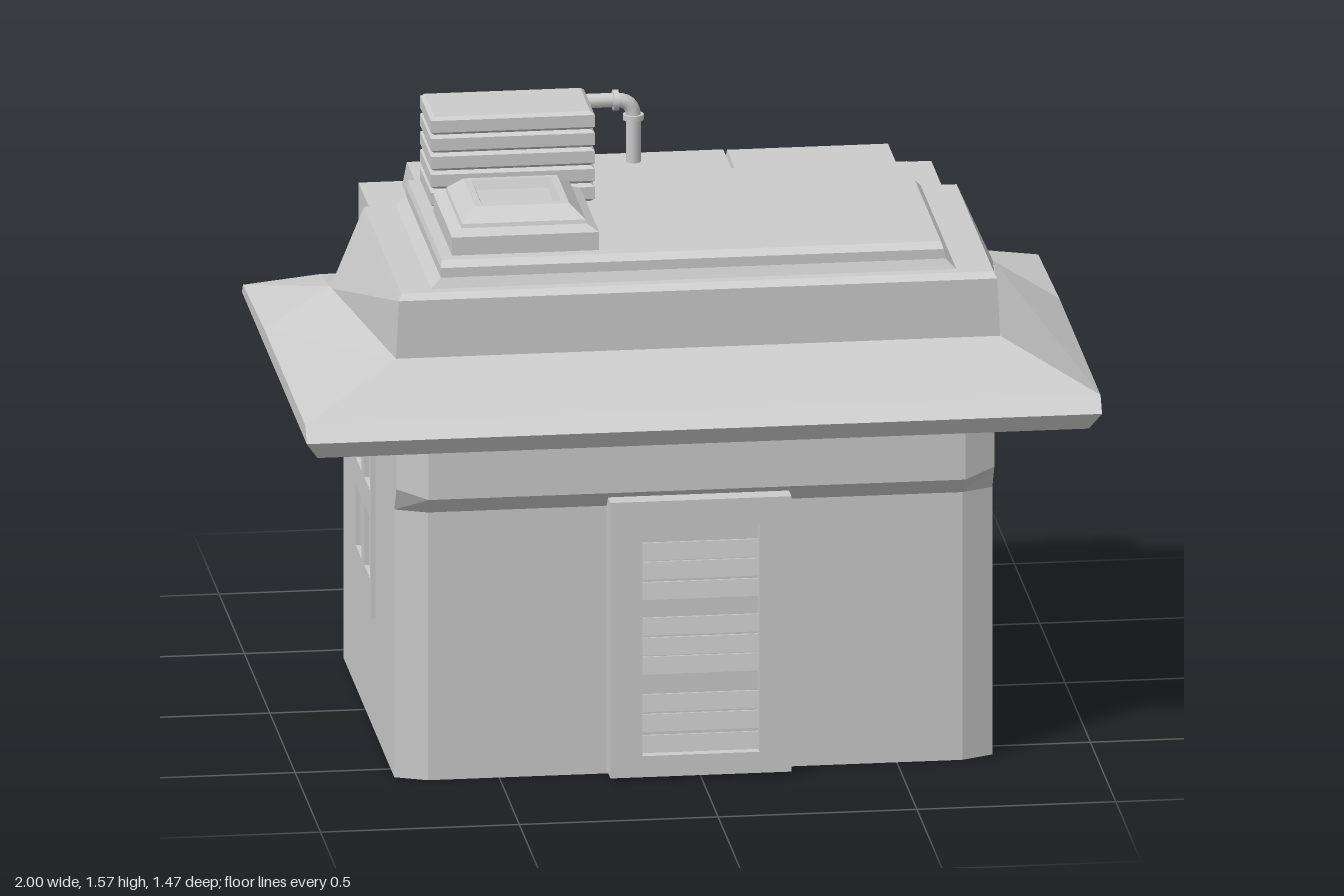
import * as THREE from 'three';

const grey = new THREE.MeshStandardMaterial({ color: 0xcccccc, flatShading: true });
const smooth = new THREE.MeshStandardMaterial({ color: 0xcccccc });

function add(parent, name, geometry, material = grey) {
  const mesh = new THREE.Mesh(geometry, material);
  mesh.name = name;
  parent.add(mesh);
  return mesh;
}

// Box given by its limits on each axis
function box(parent, name, x0, x1, y0, y1, z0, z1) {
  const mesh = add(parent, name, new THREE.BoxGeometry(x1 - x0, y1 - y0, z1 - z0));
  mesh.position.set((x0 + x1) / 2, (y0 + y1) / 2, (z0 + z1) / 2);
  return mesh;
}

// Capped solid through rings of corners, bottom to top, counterclockwise from above
function loft(rings) {
  const out = [], n = rings[0].length;
  const tri = (a, b, c) => out.push(...a, ...b, ...c);
  for (let r = 0; r + 1 < rings.length; r++) {
    for (let i = 0; i < n; i++) {
      const j = (i + 1) % n, lo = rings[r], hi = rings[r + 1];
      tri(lo[i], lo[j], hi[j]);
      tri(lo[i], hi[j], hi[i]);
    }
  }
  const bottom = rings[0], top = rings[rings.length - 1];
  for (let i = 1; i < n - 1; i++) {
    tri(bottom[0], bottom[i + 1], bottom[i]);
    tri(top[0], top[i], top[i + 1]);
  }
  const g = new THREE.BufferGeometry();
  g.setAttribute('position', new THREE.Float32BufferAttribute(out, 3));
  g.computeVertexNormals();
  return g;
}

// Ring from its +x corners (front to back), mirrored to -x
const mirrorRing = (pts) => [...pts, ...pts.slice().reverse().map(([x, y, z]) => [-x, y, z])];
const rect = (x0, x1, y, z0, z1) => [[x1, y, z1], [x1, y, z0], [x0, y, z0], [x0, y, z1]];

// Plate with rectangular holes [x0, x1, y0, y1], extruded toward +z
function plate(x0, x1, y0, y1, holes, depth) {
  const outline = (a, b, c, d) => [[a, c], [b, c], [b, d], [a, d]].map((p) => new THREE.Vector2(...p));
  const shape = new THREE.Shape(outline(x0, x1, y0, y1));
  for (const h of holes) shape.holes.push(new THREE.Path(outline(...h).reverse()));
  return new THREE.ExtrudeGeometry(shape, { depth, bevelEnabled: false });
}

// Solid with a (-z, y) side profile, running from x0 to x1
function sideProfile(points, x0, x1) {
  const shape = new THREE.Shape(points.map((p) => new THREE.Vector2(...p)));
  const g = new THREE.ExtrudeGeometry(shape, { depth: x1 - x0, bevelEnabled: false });
  return g.rotateY(Math.PI / 2).translate(x0, 0, 0);
}

// Pipe with rounded corners and collars beside each bend
function pipe(parent, name, points, radius, bend) {
  const group = new THREE.Group();
  group.name = name;
  parent.add(group);
  const p = points.map((q) => new THREE.Vector3(...q));
  const path = new THREE.CurvePath();
  const collar = (pos, dir) => {
    const c = add(group, 'pipeCollar', new THREE.CylinderGeometry(radius * 1.4, radius * 1.4, 0.014, 12), smooth);
    c.position.copy(pos);
    c.quaternion.setFromUnitVectors(new THREE.Vector3(0, 1, 0), dir);
  };
  let from = p[0];
  for (let i = 1; i < p.length - 1; i++) {
    const inDir = p[i].clone().sub(p[i - 1]).normalize();
    const outDir = p[i + 1].clone().sub(p[i]).normalize();
    const a = p[i].clone().addScaledVector(inDir, -bend);
    const b = p[i].clone().addScaledVector(outDir, bend);
    path.add(new THREE.LineCurve3(from, a));
    path.add(new THREE.QuadraticBezierCurve3(a, p[i], b));
    collar(a, inDir);
    collar(b, outDir);
    from = b;
  }
  path.add(new THREE.LineCurve3(from, p[p.length - 1]));
  add(group, 'pipeTube', new THREE.TubeGeometry(path, 60, radius, 10), smooth);
}

export function createModel() {
  const model = new THREE.Group();
  model.name = 'house';

  // Walls: chamfered front corners and a jutting band under the eaves
  const walls = new THREE.Group();
  walls.name = 'walls';
  walls.position.x = -0.0075;
  model.add(walls);
  const wallRing = (y) => mirrorRing([[0.672, y, 0.605], [0.752, y, 0.57], [0.752, y, -0.43]]);
  const bandRing = (y, yc) => mirrorRing([[0.675, y, 0.645], [0.752, yc, 0.61], [0.752, yc, -0.43]]);
  add(walls, 'mainWalls', loft([wallRing(0), wallRing(0.7), bandRing(0.745, 0.765), bandRing(0.9, 0.9)]));

  // Side windows, each with four panes
  for (const side of [-1, 1]) {
    const panes = [];
    for (const [a, b] of [[-0.185, -0.07], [-0.017, 0.098]])
      for (const [c, d] of [[0.4, 0.56], [0.63, 0.79]]) panes.push([side * a, side * b, c, d].map((v) => v));
    const holes = panes.map(([a, b, c, d]) => [Math.min(a, b), Math.max(a, b), c, d]);
    const x0 = side > 0 ? -0.2 : -0.105, x1 = side > 0 ? 0.105 : 0.2;
    const frame = add(walls, 'sideWindowFrame', plate(x0, x1, 0.3, 0.81, holes, 0.012));
    frame.position.x = side * 0.752;
    frame.rotation.y = side * Math.PI / 2;
  }

  // Rear annex with a sloped top and a gridded window
  const annex = new THREE.Group();
  annex.name = 'rearAnnex';
  model.add(annex);
  add(annex, 'annexBody', sideProfile([[0.4, 0], [0.715, 0], [0.715, 0.79], [0.735, 0.79], [0.735, 0.82],
    [0.655, 0.91], [0.5, 0.89], [0.4, 0.89]], -0.255, 0.745));
  add(annex, 'rearWindowFrame', plate(-0.255, 0.745, 0, 0.79, [[-0.22, 0.71, 0.04, 0.765]], 0.02)).position.z = -0.735;
  for (let i = 1; i < 10; i++) {
    const x = -0.22 + i * 0.093, half = i === 5 ? 0.011 : 0.005;
    box(annex, 'windowUpright', x - half, x + half, 0.04, 0.765, -0.73, -0.714);
  }
  for (let i = 1; i < 6; i++) {
    const y = 0.04 + i * 0.121;
    box(annex, 'windowCrossbar', -0.22, 0.71, y - 0.005, y + 0.005, -0.728, -0.714);
  }

  // Front door with a recessed louvre panel
  const door = new THREE.Group();
  door.name = 'door';
  model.add(door);
  add(door, 'doorFrame', plate(-0.23, 0.225, 0.01, 0.73, [[-0.15, 0.145, 0.065, 0.66]], 0.03)).position.z = 0.65;
  box(door, 'doorBack', -0.23, 0.225, 0.01, 0.73, 0.59, 0.651);
  for (const y of [0.09, 0.145, 0.197, 0.295, 0.345, 0.397, 0.49, 0.543, 0.593]) {
    const slat = box(door, 'doorSlat', -0.15, 0.145, y - 0.022, y + 0.022, 0.65, 0.666);
    slat.rotation.x = -0.15;
  }

  // Flared roof skirt
  const roof = new THREE.Group();
  roof.name = 'roof';
  model.add(roof);
  add(roof, 'eaves', loft([
    mirrorRing([[0.97, 0.885, 0.705], [0.97, 0.885, -0.11], [0.97, 0.885, -0.53]]),
    mirrorRing([[1, 0.93, 0.73], [1, 0.93, -0.11], [1, 0.93, -0.55]]),
    mirrorRing([[1, 0.97, 0.7], [1, 0.97, -0.11], [1, 0.955, -0.53]]),
    mirrorRing([[0.76, 1.105, 0.605], [0.835, 1.075, -0.11], [0.82, 1.01, -0.42]]),
  ]));

  // Upper storey, with a stepped slab on top
  add(roof, 'upperStorey', loft([
    mirrorRing([[0.76, 1.1, 0.605], [0.835, 1.07, -0.11]]),
    mirrorRing([[0.752, 1.255, 0.605], [0.752, 1.255, -0.138]]),
    mirrorRing([[0.745, 1.27, 0.59], [0.745, 1.27, -0.14]]),
  ]));
  add(roof, 'roofSlab', loft([
    rect(-0.665, 0.655, 1.27, -0.14, 0.56), rect(-0.64, 0.63, 1.295, -0.14, 0.55),
    rect(-0.64, 0.625, 1.32, -0.14, 0.55), rect(-0.635, 0.62, 1.335, -0.14, 0.53),
  ]));

  // Stepped blocks behind the upper storey
  box(roof, 'rearBlock', -0.725, 0.715, 0.96, 1.25, -0.405, -0.12);
  for (const [a, b] of [[-0.62, -0.2], [0.185, 0.61]]) {
    add(roof, 'rearRaisedBlock', loft([rect(a, b, 1.25, -0.37, -0.13), rect(a + 0.01, b - 0.01, 1.315, -0.355, -0.13)]));
  }
  add(roof, 'rearCentreBlock', sideProfile([[0.13, 0.97], [0.41, 0.97], [0.41, 1.255], [0.35, 1.318], [0.13, 1.318]], -0.2, 0.185));

  // Square roof vent with a sunken centre
  const ventProfile = [[0.185, 0], [0.185, 0.05], [0.158, 0.065], [0.155, 0.075], [0.118, 0.108], [0.1, 0.108], [0.09, 0.085], [0, 0.085]]
    .map(([r, y]) => new THREE.Vector2(r * Math.SQRT2, y));
  const vent = add(roof, 'roofVent', new THREE.LatheGeometry(ventProfile, 4, Math.PI / 4).toNonIndexed());
  vent.position.set(-0.42, 1.332, 0.312);

  // Ribbed cooling unit made of stacked slabs
  const cooler = new THREE.Group();
  cooler.name = 'coolingUnit';
  model.add(cooler);
  box(cooler, 'coolerCore', -0.595, -0.205, 1.33, 1.56, -0.105, 0.085);
  for (let i = 0; i < 5; i++) {
    const y = 1.335 + i * 0.047, r = (inset, h) => rect(-0.607 + inset, -0.195 - inset, y + h, -0.117 + inset, 0.097 - inset);
    add(cooler, 'coolerRib', loft([r(0.01, 0), r(0, 0.008), r(0, 0.039), r(0.01, 0.047)]));
  }

  // Pipework from the cooler to the roof, and from the rear block to the annex
  pipe(model, 'coolerPipe', [[-0.335, 1.48, -0.1], [-0.335, 1.48, -0.28], [-0.05, 1.48, -0.28], [-0.05, 1.3, -0.28]], 0.019, 0.045);
  pipe(model, 'upperRearPipe', [[0.02, 1.2, -0.39], [0.02, 1.2, -0.5], [0.02, 0.99, -0.51], [-0.06, 0.99, -0.645], [-0.06, 0.88, -0.645]], 0.018, 0.045);
  pipe(model, 'lowerRearPipe', [[0.08, 1.135, -0.39], [0.08, 1.135, -0.48], [0.08, 0.99, -0.49], [0.08, 0.985, -0.57], [0.08, 0.87, -0.57]], 0.018, 0.036);

  return model;
}
